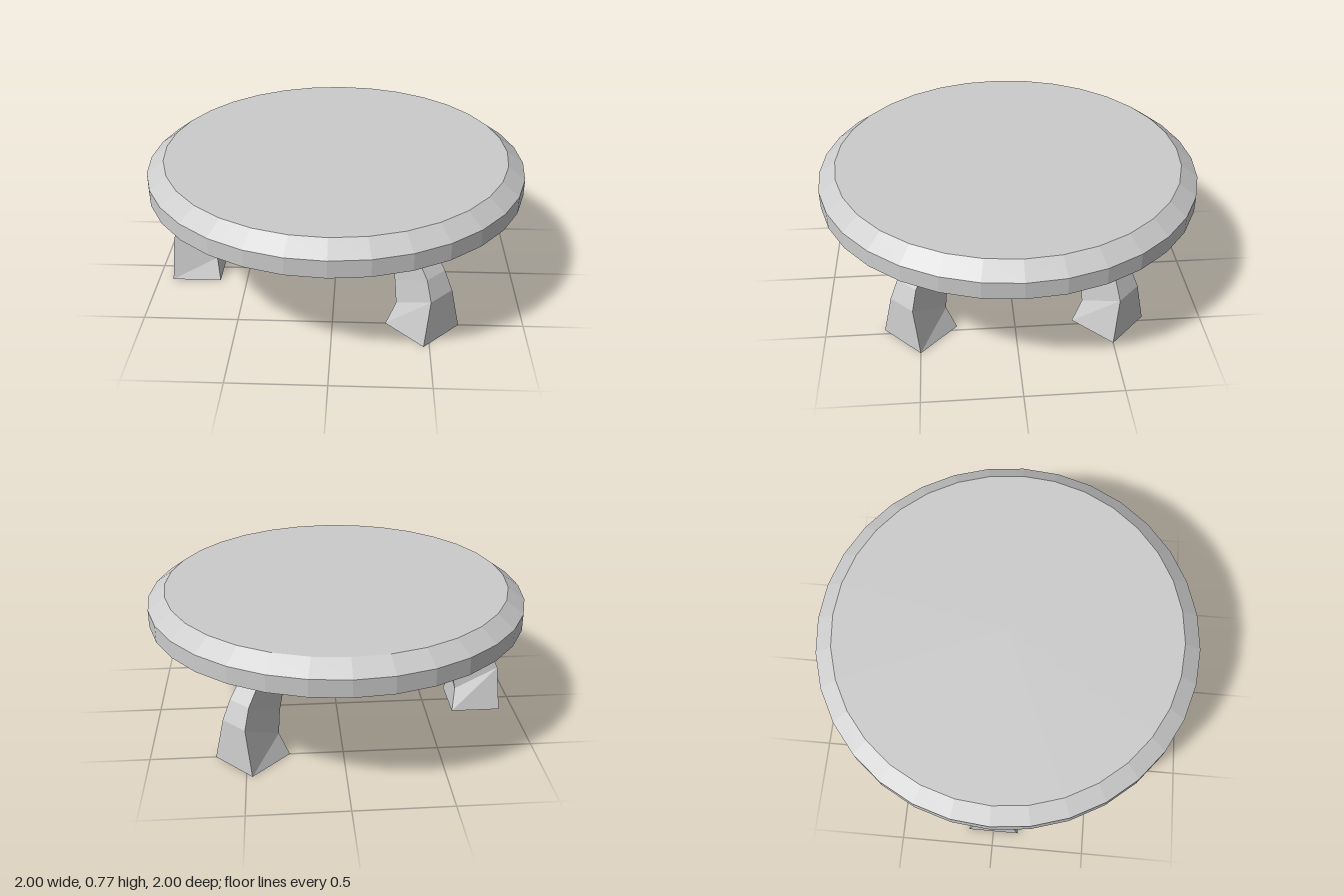
import * as THREE from 'three';

const material = new THREE.MeshStandardMaterial({ color: 0xcccccc, flatShading: true });

// Cross-sections of a leg, foot to top, as
// [outer r, outer y, outer half width, inner r, inner y, inner half width]
const sections = [
  [0.135, 0, 0.135, -0.135, 0, 0.135],
  [0.12, 0.24, 0.08, -0.115, 0.115, 0.08],
  [0.075, 0.345, 0.067, -0.14, 0.24, 0.068],
  [-0.035, 0.485, 0.06, -0.175, 0.365, 0.068],
  [-0.145, 0.58, 0.045, -0.225, 0.465, 0.058],
  [-0.25, 0.68, 0.02, -0.37, 0.62, 0.02],
];

// Four-sided curved leg, its foot centred on the origin and its outside facing +x
function legGeometry() {
  const positions = [];
  const index = [];
  for (const [ro, yo, wo, ri, yi, wi] of sections) {
    positions.push(ro, yo, wo, ro, yo, -wo, ri, yi, -wi, ri, yi, wi);
  }
  const last = (sections.length - 1) * 4;
  for (let ring = 0; ring < last; ring += 4) {
    for (let j = 0; j < 4; j++) {
      const a = ring + j;
      const b = ring + ((j + 1) % 4);
      index.push(a, b, b + 4, a, b + 4, a + 4);
    }
  }
  // Sole and hidden top end
  index.push(0, 2, 1, 0, 3, 2);
  index.push(last, last + 1, last + 2, last, last + 2, last + 3);

  const geometry = new THREE.BufferGeometry();
  geometry.setAttribute('position', new THREE.Float32BufferAttribute(positions, 3));
  geometry.setIndex(index);
  const flat = geometry.toNonIndexed();
  flat.computeVertexNormals();
  return flat;
}

export function createModel() {
  const group = new THREE.Group();

  // Round top with bevelled rim
  const profile = [[0, 0.565], [0.91, 0.565], [1, 0.615], [1, 0.705], [0.91, 0.77], [0, 0.77]];
  const top = new THREE.Mesh(
    new THREE.LatheGeometry(profile.map(([x, y]) => new THREE.Vector2(x, y)), 32),
    material
  );
  top.name = 'tableTop';
  group.add(top);

  // Three splayed legs
  const geometry = legGeometry();
  const legs = [
    ['rightLeg', -0.785, 0, Math.PI],
    ['frontLeftLeg', 0.47, 0.5, -Math.PI / 4],
    ['backLeftLeg', 0.47, -0.5, Math.PI / 4],
  ];
  for (const [name, x, z, turn] of legs) {
    const leg = new THREE.Mesh(geometry, material);
    leg.name = name;
    leg.position.set(x, 0, z);
    leg.rotation.y = turn;
    group.add(leg);
  }

  return group;
}
